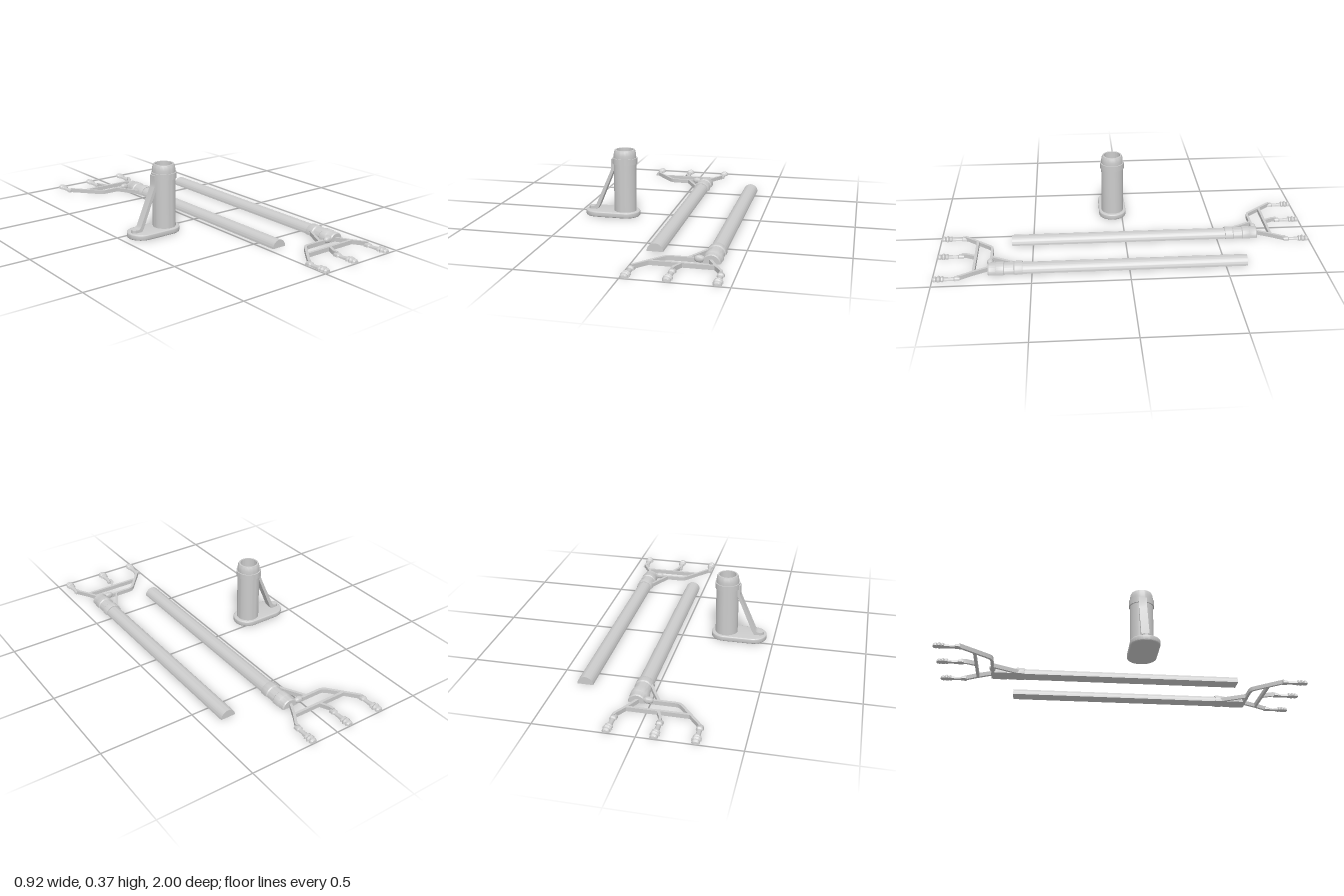
import * as THREE from 'three';
import { mergeGeometries, toCreasedNormals } from 'three/addons/utils/BufferGeometryUtils.js';

const material = new THREE.MeshStandardMaterial({ color: 0xcccccc });

function addMesh(parent, name, geometry, x = 0, y = 0, z = 0) {
  const mesh = new THREE.Mesh(toCreasedNormals(geometry, 0.55), material);
  mesh.name = name;
  mesh.position.set(x, y, z);
  parent.add(mesh);
  return mesh;
}

// Turned part lying along z, cut flat at y = 0. Points are [radius, z], z ascending; s mirrors z.
function halfTurned(points, s, segments = 24) {
  const profile = points.map(([r, z]) => new THREE.Vector2(r, -s * z));
  if (s > 0) profile.reverse();
  const shell = new THREE.LatheGeometry(profile, segments, -Math.PI / 2, Math.PI);
  shell.rotateX(-Math.PI / 2);
  const outline = [
    ...points.map(([r, z]) => new THREE.Vector2(r, s * z)),
    ...points.map(([r, z]) => new THREE.Vector2(-r, s * z)).reverse(),
  ];
  const flat = new THREE.ShapeGeometry(new THREE.Shape(outline));
  flat.rotateX(Math.PI / 2);
  return mergeGeometries([shell, flat]);
}

// Flat bar of constant width following a mitred path of [x, z] points
function flatBar(path, s, width = 0.014, height = 0.022) {
  const p = path.map(([x, z]) => new THREE.Vector2(x, s * z));
  const left = [], right = [];
  p.forEach((point, i) => {
    const a = point.clone().sub(p[Math.max(i - 1, 0)]).normalize();
    const b = p[Math.min(i + 1, p.length - 1)].clone().sub(point).normalize();
    const dir = a.clone().add(b).normalize();
    const side = new THREE.Vector2(-dir.y, dir.x);
    const ref = i === 0 ? b : a;
    const offset = side.multiplyScalar(width / 2 / Math.max(dir.dot(ref), 0.5));
    left.push(point.clone().add(offset));
    right.push(point.clone().sub(offset));
  });
  const shape = new THREE.Shape([...left, ...right.reverse()]);
  const geometry = new THREE.ExtrudeGeometry(shape, { depth: height, bevelEnabled: false });
  geometry.rotateX(Math.PI / 2);
  geometry.translate(0, height, 0);
  return geometry;
}

// One half of the split pole with its three-pronged head; s = -1 points the head backwards
function makePoleHalf(name, x, s) {
  const group = new THREE.Group();
  group.name = name;
  group.position.x = x;

  addMesh(group, 'pole', halfTurned([[0, -0.614], [0.041, -0.614], [0.041, 0.56], [0, 0.56]], s, 32));
  addMesh(group, 'collar', halfTurned([
    [0, 0.547], [0.0455, 0.547], [0.0475, 0.552], [0.0475, 0.588], [0.043, 0.594],
    [0.043, 0.64], [0.0475, 0.645], [0.0475, 0.68], [0.0445, 0.685], [0.0445, 0.718], [0.04, 0.724], [0, 0.724],
  ], s, 32));

  // Head frame
  const bars = {
    backBar: [[0, 0.714], [-0.195, 0.714], [-0.212, 0.718], [-0.226, 0.729], [-0.332, 0.858], [-0.342, 0.872]],
    rightArm: [[-0.01, 0.712], [0.035, 0.8], [0.07, 0.858], [0.072, 0.872]],
    crossBar: [[-0.282, 0.797], [0.034, 0.797]],
    middleArm: [[-0.125, 0.797], [-0.15, 0.85], [-0.151, 0.872]],
    diagonalStrut: [[-0.035, 0.575], [-0.11, 0.714]],
  };
  for (const [part, path] of Object.entries(bars)) addMesh(group, part, flatBar(path, s));

  // Clamp screw on the back bar
  const screw = new THREE.SphereGeometry(1, 20, 12);
  screw.scale(0.026, 0.018, 0.017);
  addMesh(group, 'clampScrew', screw, -0.057, 0.0185, s * 0.716);

  // Ribbed tips
  const tip = [
    [0, 0], [0.017, 0], [0.018, 0.004], [0.018, 0.024], [0.012, 0.03], [0.012, 0.05], [0.014, 0.074],
    [0.015, 0.08], [0.021, 0.084], [0.021, 0.09], [0.015, 0.095], [0.019, 0.098], [0.0235, 0.103], [0.0235, 0.108],
    [0.018, 0.114], [0.015, 0.116], [0.02, 0.12], [0.02, 0.127], [0.014, 0.136], [0, 0.139],
  ];
  [[-0.342, -0.02], [-0.151, 0], [0.07, 0.03]].forEach(([tx, tilt]) => {
    addMesh(group, 'tip', halfTurned(tip, s), tx, 0, s * 0.861).rotation.y = s * tilt;
  });
  return group;
}

function makeHolder() {
  const group = new THREE.Group();
  group.name = 'holder';
  group.position.set(-0.238, 0, 0.053);

  // Rounded base plate
  const r = 0.07, bevel = 0.006, back = -0.146;
  const plate = new THREE.Shape();
  plate.absarc(0.005, 0, r, -Math.PI / 2, Math.PI / 2);
  plate.absarc(back, 0, r, Math.PI / 2, Math.PI * 1.5);
  plate.closePath();
  const base = new THREE.ExtrudeGeometry(plate, {
    depth: 0.018, bevelSize: bevel, bevelThickness: bevel, bevelSegments: 3, curveSegments: 24,
  });
  base.rotateX(-Math.PI / 2);
  addMesh(group, 'base', base, 0, bevel, 0);

  // Hollow tube with collar and tapered mouth
  const tube = [
    [0.061, 0.028], [0.061, 0.293], [0.067, 0.293], [0.067, 0.325], [0.061, 0.325], [0.061, 0.342],
    [0.058, 0.36], [0.054, 0.369], [0.046, 0.369], [0.046, 0.032], [0, 0.032],
  ].map(([x, y]) => new THREE.Vector2(x, y));
  addMesh(group, 'tube', new THREE.LatheGeometry(tube, 48));

  // Slanted brace from the base to the collar
  const brace = new THREE.Shape([
    [-0.19, 0.028], [-0.19, 0.045], [-0.176, 0.045], [-0.167, 0.05], [-0.16, 0.06], [-0.076, 0.252],
    [-0.072, 0.268], [-0.072, 0.316], [-0.055, 0.316], [-0.055, 0.255], [-0.06, 0.25], [-0.143, 0.05], [-0.157, 0.028],
  ].map(([x, y]) => new THREE.Vector2(x, y)));
  addMesh(group, 'brace', new THREE.ExtrudeGeometry(brace, { depth: 0.042, bevelEnabled: false }), 0, 0, -0.021);
  addMesh(group, 'bracePad', new THREE.CylinderGeometry(0.021, 0.021, 0.017, 24), -0.187, 0.0365, 0);
  return group;
}

export function createModel() {
  const model = new THREE.Group();
  model.name = 'poleKit';
  model.add(
    makeHolder(),
    makePoleHalf('frontPoleHalf', 0.364, 1),
    makePoleHalf('backPoleHalf', 0.068, -1),
  );
  return model;
}
